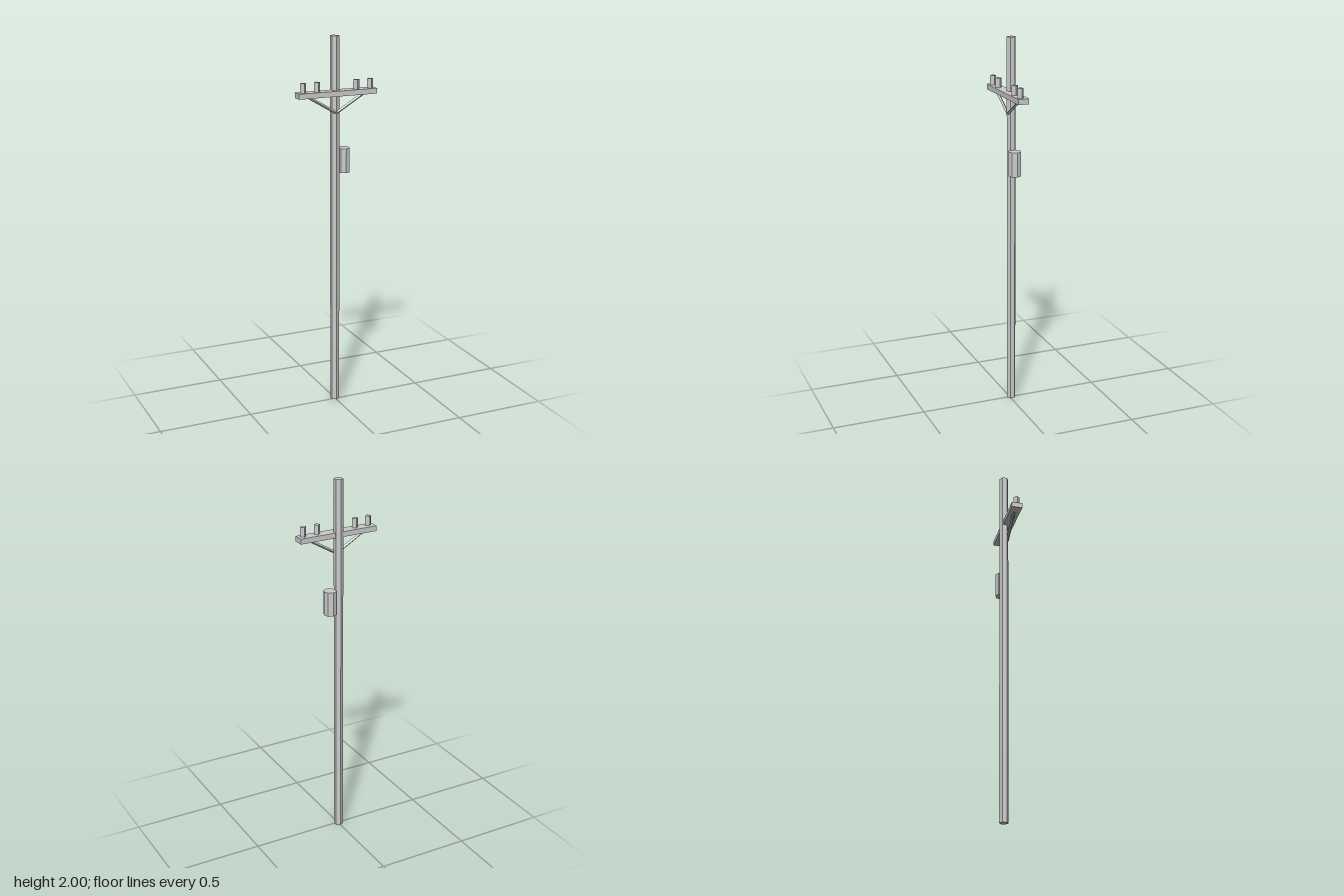
import * as THREE from 'three';

const material = new THREE.MeshStandardMaterial({ color: 0xcccccc, flatShading: true });

export function createModel() {
  const model = new THREE.Group();
  model.name = 'utilityPole';

  const add = (name, geometry, x, y, z) => {
    const mesh = new THREE.Mesh(geometry, material);
    mesh.name = name;
    mesh.position.set(x, y, z);
    model.add(mesh);
    return mesh;
  };
  const prism = (radius, height, sides) => new THREE.CylinderGeometry(radius, radius, height, sides);

  // Hexagonal pole
  add('pole', prism(0.0245, 2, 6), 0, 1, -0.008);

  // Crossarm mounted slightly in front of the pole axis
  add('crossarm', new THREE.BoxGeometry(0.438, 0.028, 0.058), 0, 1.708, 0.013);

  // Mirrored insulators and diagonal braces
  for (const side of [-1, 1]) {
    for (const x of [0.11, 0.188]) {
      add('insulator', prism(0.0172, 0.051, 4), side * x, 1.7465, 0.018);
    }
    const foot = new THREE.Vector2(0, 1.604);
    const head = new THREE.Vector2(side * 0.165, 1.702);
    const run = head.clone().sub(foot);
    const brace = add('brace', prism(0.008, run.length(), 4), (foot.x + head.x) / 2, (foot.y + head.y) / 2, 0.011);
    brace.rotation.z = -Math.atan2(run.x, run.y);
  }

  // Octagonal transformer can on the left of the pole
  add('transformer', prism(0.035, 0.13, 8), 0.05, 1.348, -0.008);

  return model;
}
